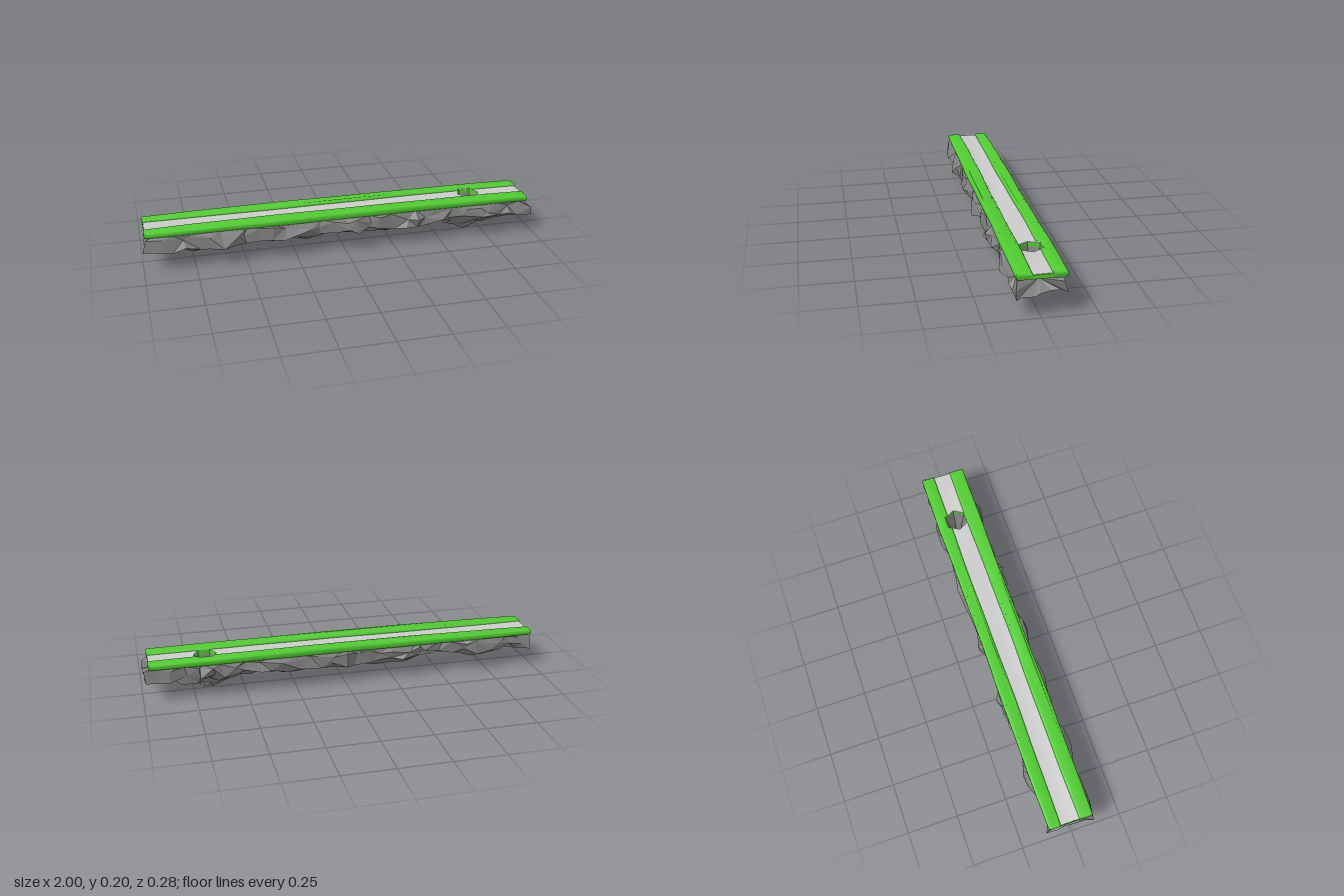
import * as THREE from 'three';
import { toCreasedNormals } from 'three/addons/utils/BufferGeometryUtils.js';

const HOLE = { x: 0.687, z: -0.02, r: 0.057 };
const X0 = -0.987, X1 = 0.967;

const grey = new THREE.MeshStandardMaterial({ color: 0xcccccc, side: THREE.DoubleSide });
const rockMat = new THREE.MeshStandardMaterial({ color: 0x808080, flatShading: true, side: THREE.DoubleSide });
const green = new THREE.MeshStandardMaterial({ color: 0x50cc30 });

function seeded(seed) {
  return () => {
    seed = (seed * 16807) % 2147483647;
    return seed / 2147483647 - 0.5;
  };
}

// piecewise-linear lookup through [x, y] pairs
function lerpTable(table, x) {
  for (let i = 1; i < table.length; i++) {
    const [ax, ay] = table[i - 1], [bx, by] = table[i];
    if (x <= bx) return ay + (by - ay) * Math.max(0, (x - ax) / (bx - ax));
  }
  return table[table.length - 1][1];
}

const wave = (x, s) => 0.002 * Math.sin(x * 5 + s) + 0.001 * Math.sin(x * 13 + s * 2);

// hexagon corner with points along x
const hexPoint = (k, r = HOLE.r) => new THREE.Vector2(
  HOLE.x + r * Math.cos(k * Math.PI / 3), HOLE.z + r * Math.sin(k * Math.PI / 3));

// plan outline in x and z, with gently wavy long edges
function stripShape(x0, x1, zBack, zFront, notch) {
  const n = 24, back = [], front = [];
  for (let i = 0; i <= n; i++) {
    const x = x0 + (x1 - x0) * i / n;
    back.push(new THREE.Vector2(x, zBack + wave(x, 1)));
    front.push(new THREE.Vector2(x, zFront + wave(x, 3)));
  }
  if (notch) {
    // bite where the pit cuts into the inner edge
    const keep = front.filter(p => Math.abs(p.x - HOLE.x) > 0.045);
    const at = keep.findIndex(p => p.x > HOLE.x);
    keep.splice(at, 0,
      new THREE.Vector2(HOLE.x - 0.038, zFront), hexPoint(4, 0.059),
      hexPoint(5, 0.059), new THREE.Vector2(HOLE.x + 0.038, zFront));
    return new THREE.Shape([...back, ...keep.reverse()]);
  }
  return new THREE.Shape([...back, ...front.reverse()]);
}

// extrude a plan outline upward from y0 to y1, swelling slightly mid-length
function slab(shape, y0, y1, bevel) {
  const geo = new THREE.ExtrudeGeometry(shape, {
    depth: y1 - y0 - 2 * bevel, bevelEnabled: bevel > 0,
    bevelThickness: bevel, bevelSize: bevel, bevelOffset: -bevel, bevelSegments: 4,
  });
  geo.rotateX(Math.PI / 2);
  geo.translate(0, y1 - bevel, 0);
  const p = geo.attributes.position;
  for (let i = 0; i < p.count; i++) {
    const x = p.getX(i), y = p.getY(i);
    const rise = (0.003 - 0.008 * (x - 0.1) ** 2) * (y - 0.166) / 0.034;
    p.setY(i, y + rise);
  }
  return toCreasedNormals(geo, 0.7);
}

function withHole(shape) {
  shape.holes.push(new THREE.Path([0, 1, 2, 3, 4, 5].map(k => hexPoint(k))));
  return shape;
}

// lowest point of the rock along its length
const KEEL = [[-1, 0.115], [-0.92, 0.105], [-0.85, 0.06], [-0.75, 0.022], [-0.68, 0.042],
  [-0.6, 0.08], [-0.52, 0.1], [-0.45, 0.09], [-0.38, 0.055], [-0.28, 0.06], [-0.17, 0.032],
  [-0.08, 0.065], [0.02, 0.104], [0.12, 0.07], [0.25, 0.032], [0.35, 0.06], [0.42, 0.1],
  [0.48, 0.08], [0.57, 0.035], [0.659, 0], [0.75, 0.033], [0.83, 0.038], [0.9, 0.08], [1, 0.11]];

// rock section: z, base height, how much of the keel depth it takes
const SECTION = [[-0.098, 0.172, 0], [-0.11, 0.15, 0], [-0.116, 0.106, 0], [-0.08, 0.1, 0.25],
  [-0.048, 0.105, 0.6], [0.006, 0.105, 1], [0.043, 0.105, 0.62], [0.076, 0.1, 0.25],
  [0.116, 0.103, 0], [0.108, 0.148, 0], [0.092, 0.172, 0]];

function rockGeometry() {
  const rand = seeded(4711);
  const xs = [];
  for (let i = 0; i <= 32; i++) {
    const x = -0.986 + i * 0.0616;
    if (x < 0.64 || x > 0.735) xs.push(x);
  }
  xs.push(HOLE.x - 0.028, HOLE.x + 0.028);
  xs.sort((a, b) => a - b);
  const pos = [], index = [], m = SECTION.length;
  xs.forEach((x, i) => {
    const keel = lerpTable(KEEL, x), nearHole = Math.abs(x - HOLE.x) < 0.04;
    const end = i === 0 || i === xs.length - 1;
    SECTION.forEach(([z, y, w], j) => {
      const top = j === 0 || j === m - 1;
      const a = top || (nearHole && (j === 4 || j === 5)) ? 0 : 1;
      const dx = rand() * 0.04 * a * (end ? 0.4 : 1);
      const dy = rand() * (w >= 0.6 ? 0.02 : 0.036) * a, dz = rand() * 0.03 * a;
      const py = y + (keel - y) * w + (w === 1 ? Math.max(dy, -0.004) : dy);
      // lumps that push out past the deck edge here and there
      const bulge = w === 0 && !top && !end ? Math.sign(z) * 0.012 * Math.sin(x * 19 + (z > 0 ? 0.4 : 1.8)) : 0;
      // the ends draw in under the deck and jut out at the front lower corner
      const reach = !end ? 0 : top ? -0.04 : j === m - 3 ? 0.01 : 0;
      pos.push(x + dx + Math.sign(x) * reach, Math.max(py, 0), z + dz + bulge);
    });
  });
  const holeCol = xs.findIndex(x => x > HOLE.x) - 1;
  for (let i = 0; i < xs.length - 1; i++) {
    for (let j = 0; j < m - 1; j++) {
      if (i === holeCol && j === 4) continue;
      const a = i * m + j, b = a + 1, c = a + m, d = c + 1;
      if ((i + j) % 2) index.push(a, c, b, b, c, d);
      else index.push(a, c, d, a, d, b);
    }
  }
  // ragged, hollowed end faces
  for (const [start, cx, flip] of [[0, -0.95, false], [(xs.length - 1) * m, 0.91, true]]) {
    const centre = pos.length / 3;
    pos.push(cx, 0.145, -0.005);
    for (let j = 0; j < m; j++) {
      const a = start + j, b = start + (j + 1) % m;
      index.push(...(flip ? [centre, b, a] : [centre, a, b]));
    }
  }
  const geo = new THREE.BufferGeometry();
  geo.setAttribute('position', new THREE.Float32BufferAttribute(pos, 3));
  geo.setIndex(index);
  const flat = geo.toNonIndexed();
  flat.computeVertexNormals();
  return flat;
}

export function createModel() {
  const model = new THREE.Group();
  const add = (name, geo, mat) => {
    const mesh = new THREE.Mesh(geo, mat);
    mesh.name = name;
    model.add(mesh);
    return mesh;
  };

  // grass deck: base with two raised rounded borders
  add('grassBase', slab(withHole(stripShape(X0 + 0.002, X1 - 0.002, -0.112, 0.096)), 0.166, 0.187, 0), green);
  add('backGrassBorder', slab(stripShape(X0, X1, -0.12, -0.056, true), 0.166, 0.2, 0.012), green);
  add('frontGrassBorder', slab(stripShape(X0, X1, 0.032, 0.104), 0.166, 0.2, 0.012), green);

  // smooth path lying between the borders
  add('path', slab(withHole(stripShape(X0 + 0.006, X1 - 0.006, -0.085, 0.046)), 0.186, 0.189, 0), grey);

  // six-sided pit leading down through the rock
  const pit = [[HOLE.r, 0.168], [0.05, 0.14], [0.034, 0.09], [0.027, 0.03]]
    .map(([r, y]) => new THREE.Vector2(r, y));
  const pitMesh = add('pit', new THREE.LatheGeometry(pit, 6, Math.PI / 6), rockMat);
  pitMesh.position.set(HOLE.x, 0, HOLE.z);

  // faceted rock hanging underneath
  add('rock', rockGeometry(), rockMat);

  return model;
}
